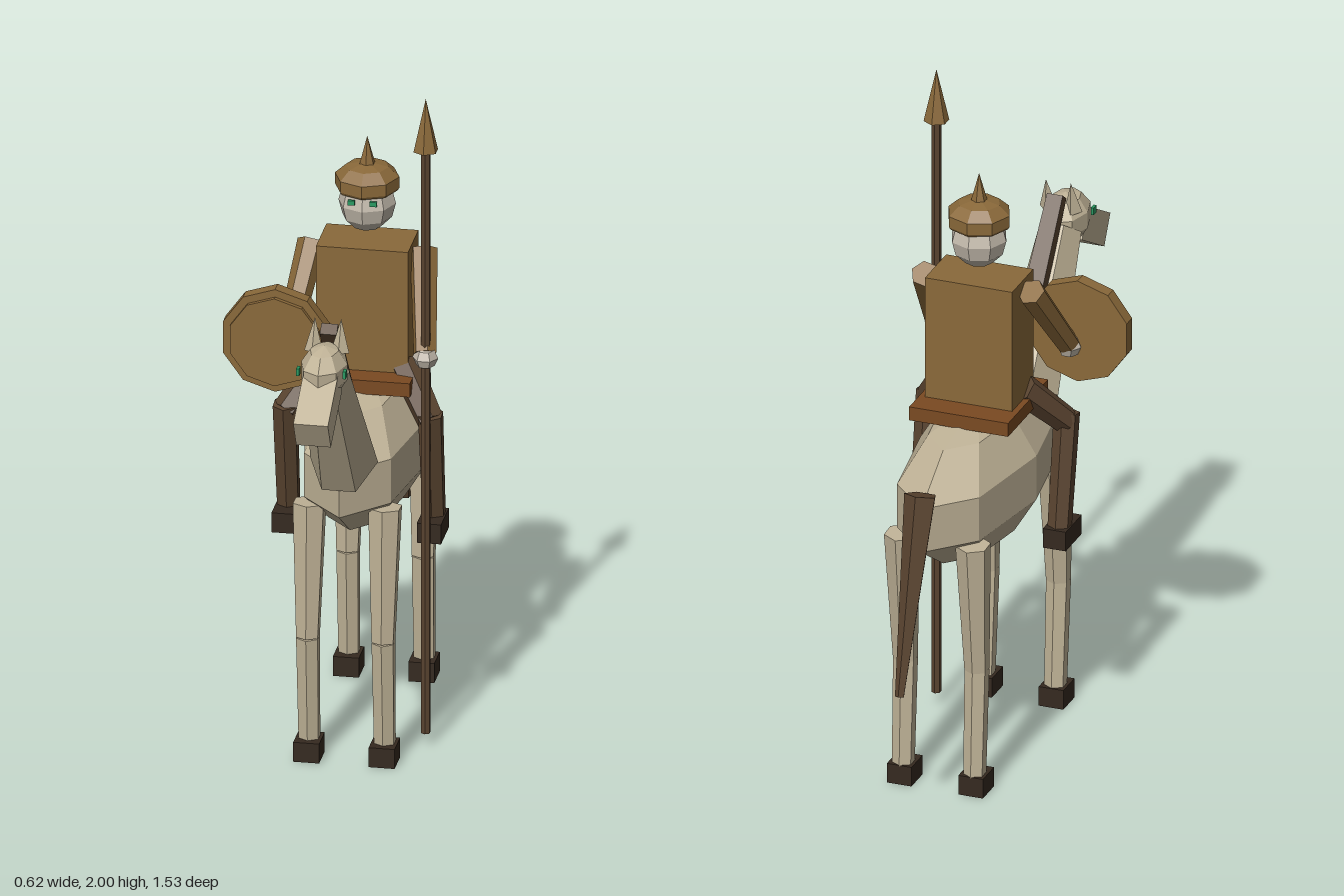
import * as THREE from 'three';

const mat = (name, color) => {
  const m = new THREE.MeshStandardMaterial({ color });
  m.name = name;
  return m;
};

export function createModel() {
  const hide = mat('hide', 0xc0b397);
  const skin = mat('skin', 0xc4bbad);
  const bronze = mat('bronze', 0x8a693a);
  const leather = mat('saddleLeather', 0x7a4a22);
  const brown = mat('darkBrown', 0x5a4430);
  const hoofMat = mat('hoof', 0x35291f);
  const eyeMat = mat('eye', 0x2a9a62);

  const model = new THREE.Group();
  model.name = 'spearRider';
  const rig = new THREE.Group();
  rig.name = 'horseAndRider';
  rig.position.x = 0.063;
  model.add(rig);

  // Faceted mesh at a position
  function add(name, geometry, material, x, y, z) {
    const g = geometry.index ? geometry.toNonIndexed() : geometry;
    g.computeVertexNormals();
    const mesh = new THREE.Mesh(g, material);
    mesh.name = name;
    mesh.position.set(x, y, z);
    rig.add(mesh);
    return mesh;
  }
  const box = (name, m, w, h, d, x, y, z) => add(name, new THREE.BoxGeometry(w, h, d), m, x, y, z);
  const ball = (name, m, rx, ry, rz, x, y, z, ws = 8, hs = 5) =>
    add(name, new THREE.SphereGeometry(1, ws, hs).scale(rx, ry, rz), m, x, y, z);

  // Tapered prism running from a to b; turn spins it about its own axis
  const up = new THREE.Vector3(0, 1, 0);
  function limb(name, m, a, b, ra, rb, sides = 6, turn = 0, depth = 1) {
    const p = new THREE.Vector3(...a), q = new THREE.Vector3(...b);
    const dir = q.clone().sub(p);
    const g = new THREE.CylinderGeometry(rb, ra, dir.length(), sides).rotateY(turn).scale(1, 1, depth);
    const mid = p.clone().add(q).multiplyScalar(0.5);
    const mesh = add(name, g, m, mid.x, mid.y, mid.z);
    mesh.quaternion.setFromUnitVectors(up, dir.normalize());
    return mesh;
  }

  // Horse body, neck and head
  ball('horseBody', hide, 0.186, 0.22, 0.471, 0, 0.865, -0.14);
  limb('horseNeck', hide, [0, 0.945, 0.23], [0, 1.335, 0.5], 0.098, 0.064, 6, Math.PI / 6, 1.25);
  ball('horseHead', hide, 0.07, 0.078, 0.107, 0, 1.353, 0.542);
  box('muzzle', hide, 0.1, 0.097, 0.2, 0, 1.282, 0.65).rotation.x = 0.51;
  const mane = limb('mane', brown, [0, 1.053, 0.17], [0, 1.45, 0.47], 0.043, 0.034, 4, Math.PI / 4);
  mane.scale.z = 0.75;
  limb('tail', brown, [0, 0.978, -0.587], [0, 0.417, -0.755], 0.049, 0.014, 5);

  for (const s of [-1, 1]) {
    const side = s > 0 ? 'left' : 'right';

    limb(side + 'Ear', hide, [s * 0.038, 1.395, 0.505], [s * 0.038, 1.49, 0.483], 0.027, 0, 4);
    box(side + 'HorseEye', eyeMat, 0.009, 0.022, 0.022, s * 0.067, 1.365, 0.587);

    // Horse legs: [hip z, knee z, ankle z, hoof z]
    for (const [end, hip, knee, ankle, hoof] of [
      ['Front', 0.178, 0.205, 0.182, 0.19],
      ['Hind', -0.462, -0.432, -0.449, -0.438],
    ]) {
      const x = s * 0.109;
      limb(side + end + 'UpperLeg', hide, [x, 0.785, hip], [x, 0.38, knee], 0.051, 0.036);
      limb(side + end + 'LowerLeg', hide, [x, 0.38, knee], [x, 0.055, ankle], 0.036, 0.033);
      box(side + end + 'Hoof', hoofMat, 0.075, 0.06, 0.087, x, 0.03, hoof);
    }

    // Rider legs
    const knee = [s * 0.21, 0.985, 0.008];
    limb(side + 'Thigh', brown, [s * 0.115, 1.115, -0.095], knee, 0.047, 0.04);
    limb(side + 'Shin', brown, [s * 0.21, 1.01, 0.012], [s * 0.21, 0.67, -0.045], 0.038, 0.035);
    box(side + 'Boot', hoofMat, 0.07, 0.06, 0.125, s * 0.21, 0.65, -0.024);

    // Rider arms and face
    limb(side + 'Arm', bronze, [s * 0.162, 1.45, -0.145], [s * 0.2, 1.21, 0.045], 0.041, 0.034);
    ball(side + 'Hand', skin, 0.037, 0.034, 0.037, s * 0.202, 1.2, 0.05, 6, 4);
    box(side + 'RiderEye', eyeMat, 0.02, 0.014, 0.009, s * 0.032, 1.615, -0.059);
  }

  // Saddle and rider
  box('saddle', leather, 0.302, 0.042, 0.312, 0, 1.079, -0.14);
  box('torso', bronze, 0.266, 0.375, 0.165, 0, 1.288, -0.136);
  ball('riderHead', skin, 0.083, 0.085, 0.086, 0, 1.59, -0.136, 8, 6);
  const helmet = [[0, 1.63], [0.088, 1.63], [0.093, 1.638], [0.093, 1.672], [0.062, 1.7], [0, 1.714]];
  add('helmet', new THREE.LatheGeometry(helmet.map(([r, y]) => new THREE.Vector2(r, y)), 8), bronze, 0, 0, -0.136);
  limb('helmetSpike', bronze, [0, 1.698, -0.136], [0, 1.792, -0.136], 0.026, 0, 6);

  // Round shield with a raised inner disc
  limb('shieldDisc', bronze, [-0.222, 1.243, 0.064], [-0.222, 1.243, 0.106], 0.158, 0.158, 10);
  limb('shieldFace', bronze, [-0.222, 1.243, 0.1], [-0.222, 1.243, 0.12], 0.135, 0.135, 10);

  // Spear
  limb('spearShaft', brown, [0.203, 0.04, 0.05], [0.203, 1.85, 0.05], 0.014, 0.014, 6);
  limb('spearHead', bronze, [0.203, 1.84, 0.05], [0.203, 2, 0.05], 0.037, 0, 6);

  return model;
}
